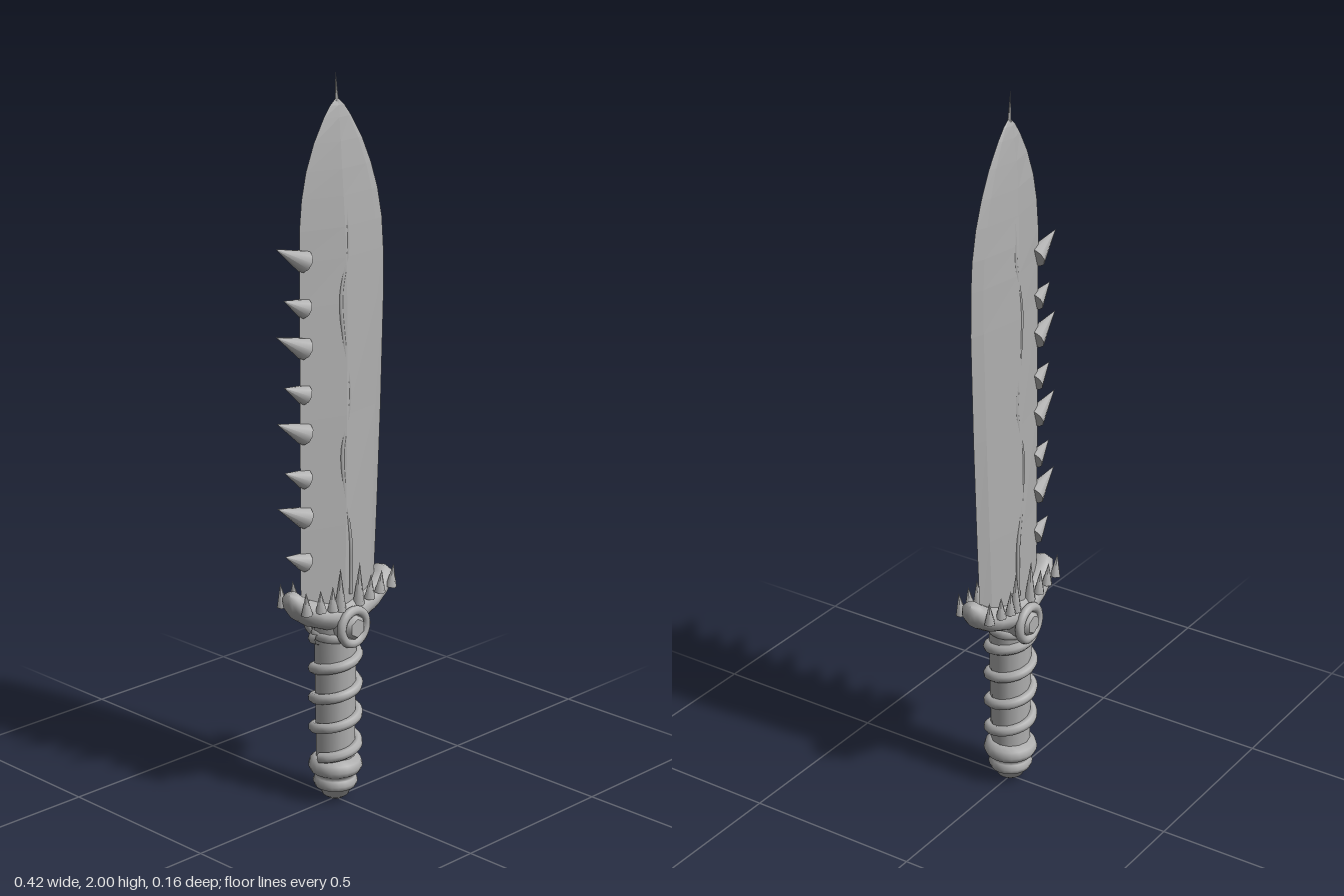
import * as THREE from 'three';

const steel = new THREE.MeshStandardMaterial({ color: 0xb0b0b0 });
steel.name = 'greySteel';
const V = (x, y, z) => new THREE.Vector3(x, y, z);

function add(parent, name, geometry) {
  const mesh = new THREE.Mesh(geometry, steel);
  mesh.name = name;
  parent.add(mesh);
  return mesh;
}

// Skin a list of closed rings of equal point count
function loft(rings, flat) {
  const n = rings[0].length, index = [];
  for (let i = 0; i < rings.length - 1; i++) {
    for (let j = 0; j < n; j++) {
      const a = i * n + j, b = i * n + (j + 1) % n, c = b + n, d = a + n;
      index.push(a, b, c, a, c, d);
    }
  }
  let g = new THREE.BufferGeometry().setFromPoints(rings.flat());
  g.setIndex(index);
  if (flat) g = g.toNonIndexed();
  g.computeVertexNormals();
  return g;
}

// Cone running from a base point to a tip point
function spike(parent, name, base, tip, radius, sides) {
  const dir = tip.clone().sub(base), len = dir.length();
  const g = new THREE.ConeGeometry(radius, len, sides).translate(0, len / 2, 0);
  const mesh = add(parent, name, g);
  mesh.position.copy(base);
  mesh.quaternion.setFromUnitVectors(V(0, 1, 0), dir.normalize());
}

function makeBlade() {
  const group = new THREE.Group();
  group.name = 'blade';
  // y, back edge x, cutting edge x, half thickness
  const rows = [
    [0.55, -0.13, 0.145, 0.042], [0.8, -0.13, 0.158, 0.041], [1.1, -0.13, 0.171, 0.038],
    [1.4, -0.13, 0.18, 0.034], [1.52, -0.13, 0.178, 0.032], [1.6, -0.13, 0.172, 0.03],
    [1.68, -0.122, 0.155, 0.027], [1.75, -0.106, 0.13, 0.024], [1.82, -0.078, 0.096, 0.019],
    [1.88, -0.043, 0.056, 0.013], [1.91, -0.02, 0.031, 0.008], [1.927, 0, 0.01, 0.002],
  ];
  const rings = rows.map(([y, l, r, t]) => {
    const w = r - l, ridge = l + w * 0.45, bevel = r - w * 0.12;
    return [V(l, y, 0), V(ridge, y, t), V(bevel, y, t * 0.42), V(r, y, 0),
      V(bevel, y, -t * 0.42), V(ridge, y, -t)];
  });
  add(group, 'bladeBody', loft(rings, true));

  // Needle at the point
  spike(group, 'bladeNeedle', V(0.005, 1.91, 0), V(0, 2, 0), 0.006, 6);

  // Wavy vein barely proud of each face
  for (const s of [1, -1]) {
    const vein = [[0.02, 0.6, 0.038], [0.02, 0.74, 0.037], [0, 0.88, 0.034], [-0.008, 1.0, 0.033],
      [0.02, 1.15, 0.031], [0, 1.3, 0.029], [-0.008, 1.42, 0.027], [0.017, 1.55, 0.026], [0.012, 1.66, 0.021]];
    const path = new THREE.CatmullRomCurve3(vein.map(([x, y, z]) => V(x, y, z * s)));
    add(group, 'bladeVein', new THREE.TubeGeometry(path, 60, 0.006, 6));
  }

  // Alternating large and small thorns along the back edge
  for (let i = 0; i < 4; i++) {
    const y = 0.835 + i * 0.229;
    spike(group, 'largeThorn', V(-0.113, y, 0), V(-0.214, y + 0.047, 0), 0.03, 10);
    spike(group, 'smallThorn', V(-0.113, y - 0.123, 0), V(-0.187, y - 0.091, 0), 0.027, 10);
  }
  return group;
}

function makeGuard() {
  const group = new THREE.Group();
  group.name = 'guard';
  // Upturned crescent: offset from middle, y, in-plane radius, z radius
  const half = [[0, 0.543, 0.045, 0.062], [0.05, 0.547, 0.042, 0.06], [0.1, 0.562, 0.037, 0.054],
    [0.14, 0.583, 0.033, 0.046], [0.165, 0.606, 0.028, 0.036], [0.178, 0.625, 0.022, 0.027], [0.182, 0.632, 0, 0]];
  const rows = [...half.slice(1).reverse().map(([x, ...r]) => [-x, ...r]), ...half];
  const rings = rows.map(([x, y, r, rz]) => {
    const lean = x * 5.2; // tilt sections to follow the curve
    return Array.from({ length: 16 }, (_, k) => {
      const t = k / 16 * Math.PI * 2, c = r * Math.cos(t);
      return V(0.01 + x - c * Math.sin(lean), y + c * Math.cos(lean), rz * Math.sin(t));
    });
  });
  add(group, 'crescent', loft(rings, false));

  // Small teeth on both faces: offset, base y, tip y, radius, z
  const teeth = [[0.035, 0.565, 0.685, 0.017, 0.045], [0.07, 0.575, 0.645, 0.016, 0.052],
    [0.112, 0.582, 0.645, 0.016, 0.05], [0.16, 0.585, 0.65, 0.016, 0.046]];
  for (const s of [1, -1]) for (const m of [1, -1]) {
    for (const [x, y0, y1, r, z] of teeth) {
      spike(group, 'guardTooth', V(0.008 + m * x, y0, s * z), V(0.008 + m * x * 1.04, y1, s * (z + 0.003)), r, 6);
    }
  }

  // Ringed hexagonal boss on both faces
  for (const s of [1, -1]) {
    const boss = new THREE.Group();
    boss.name = 'boss';
    boss.position.set(0.005, 0.515, 0);
    if (s < 0) boss.rotation.y = Math.PI;
    add(boss, 'bossPlate', new THREE.CylinderGeometry(0.05, 0.05, 0.06, 24).rotateX(Math.PI / 2)).position.z = 0.037;
    add(boss, 'bossRing', new THREE.TorusGeometry(0.046, 0.013, 10, 28)).position.z = 0.064;
    add(boss, 'bossGem', new THREE.CylinderGeometry(0.026, 0.037, 0.014, 6).rotateX(Math.PI / 2)).position.z = 0.073;
    group.add(boss);
  }
  return group;
}

function makeHandle() {
  const group = new THREE.Group();
  group.name = 'handle';
  add(group, 'grip', new THREE.CylinderGeometry(0.06, 0.054, 0.42, 12)).position.y = 0.31;

  // Cord wound around the grip
  const turns = 4, pts = [];
  for (let i = 0; i <= turns * 16; i++) {
    const t = i / 16 * Math.PI * 2 - Math.PI / 2;
    pts.push(V(0.06 * Math.sin(t), 0.135 + i / 16 * 0.086, 0.06 * Math.cos(t)));
  }
  add(group, 'cordWrap', new THREE.TubeGeometry(new THREE.CatmullRomCurve3(pts), 160, 0.015, 8));
  add(group, 'topCollar', new THREE.TorusGeometry(0.05, 0.016, 8, 24).rotateX(Math.PI / 2)).position.y = 0.485;

  // Stepped pommel with a rounded end
  const profile = [[0, 0], [0.02, 0.004], [0.036, 0.015], [0.043, 0.034], [0.056, 0.04], [0.062, 0.054],
    [0.056, 0.068], [0.05, 0.074], [0.068, 0.085], [0.075, 0.1], [0.07, 0.118], [0.055, 0.13], [0, 0.13]];
  add(group, 'pommel', new THREE.LatheGeometry(profile.map(([x, y]) => new THREE.Vector2(x, y)), 20));
  return group;
}

export function createModel() {
  const model = new THREE.Group();
  model.name = 'thornedDagger';
  model.add(makeBlade(), makeGuard(), makeHandle());
  return model;
}
